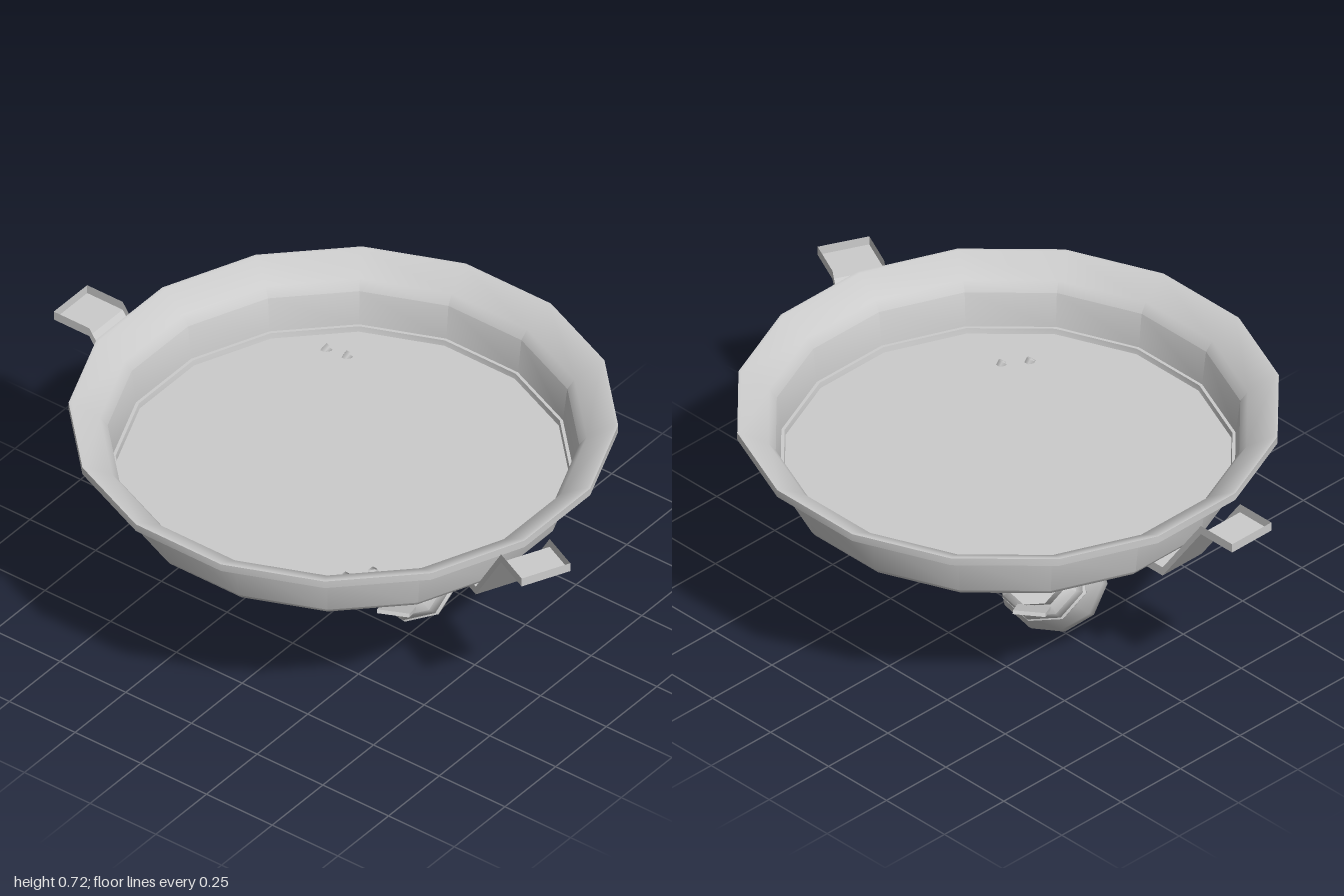
import * as THREE from 'three';
import { toCreasedNormals } from 'three/addons/utils/BufferGeometryUtils.js';

const mat = new THREE.MeshStandardMaterial({ color: 0xcccccc });
const thin = new THREE.MeshStandardMaterial({ color: 0xcccccc, side: THREE.DoubleSide });

function add(parent, name, geometry, material = mat) {
  const mesh = new THREE.Mesh(geometry, material);
  mesh.name = name;
  parent.add(mesh);
  return mesh;
}

function lathe(points, sides, start, crease) {
  const profile = points.map(([r, y]) => new THREE.Vector2(r, y));
  return toCreasedNormals(new THREE.LatheGeometry(profile, sides, start), crease);
}

// Bent channel strip: shallow side walls and closed ends, open on top
function clipGeometry(width, wall) {
  const path = [[0.43, 0.46], [0.7, 0.46], [0.865, 0.695], [1, 0.695]];
  const w = width / 2, pos = [];
  const rings = path.map(([z, y]) => [[-w, y + wall, z], [-w, y, z], [w, y, z], [w, y + wall, z]]);
  const quad = (a, b, c, d) => pos.push(...a, ...b, ...c, ...a, ...c, ...d);
  for (let i = 0; i < 3; i++)
    for (let j = 0; j < 3; j++) quad(rings[i][j], rings[i][j + 1], rings[i + 1][j + 1], rings[i + 1][j]);
  quad(...[...rings[0]].reverse());
  quad(...rings[3]);
  const g = new THREE.BufferGeometry();
  g.setAttribute('position', new THREE.Float32BufferAttribute(pos, 3));
  g.computeVertexNormals();
  return g;
}

// Socket whose local y axis runs from the bulb centre to the cable end
function socket(name, origin, axis) {
  const g = new THREE.Group();
  g.name = name;
  const d = new THREE.Vector3(...axis).normalize();
  g.position.set(...origin);
  g.quaternion.setFromUnitVectors(new THREE.Vector3(0, 1, 0), d);
  add(g, 'socketCup', lathe([
    [0, 0.33], [0.06, 0.32], [0.1, 0.28], [0.12, 0.19], [0.135, 0.19], [0.137, 0.215], [0.122, 0.225],
    [0.132, 0.25], [0.12, 0.32], [0.088, 0.34], [0.085, 0.46], [0, 0.46]], 8, Math.PI / 8, 0.9), thin);
  // small tab on the underside of the cable end
  const arm = new THREE.Group();
  arm.name = 'socketTab';
  arm.rotation.y = Math.atan2(d.x, d.z);
  const tab = add(arm, 'tabPlate', new THREE.BoxGeometry(0.1, 0.1, 0.012));
  tab.position.set(0, 0.42, 0.098);
  tab.rotation.x = 0.2;
  g.add(arm);
  return g;
}

export function createModel() {
  const model = new THREE.Group();
  model.name = 'ceilingLampFitting';

  // Sixteen-sided pan with flared rim
  add(model, 'pan', lathe([
    [0, 0.505], [0.692, 0.505], [0.705, 0.522], [0.722, 0.645], [0.745, 0.662], [0.83, 0.7], [0.83, 0.725],
    [0.82, 0.725], [0.735, 0.675], [0.712, 0.645], [0.698, 0.53], [0.688, 0.53], [0.685, 0.512], [0, 0.512]],
  16, Math.PI / 16, 0.6));

  // Mounting clips, front and back
  const front = add(model, 'frontClip', clipGeometry(0.165, 0.03), thin);
  front.rotation.y = -0.435;
  front.position.set(0.18, 0, 0.05);
  const back = add(model, 'backClip', clipGeometry(0.165, 0.03), thin);
  back.rotation.y = Math.PI;
  back.position.x = -0.05;

  // Screw bosses under the pan
  for (const [x, z] of [[0.45, 0.12], [-0.525, -0.1]]) {
    add(model, 'boss', new THREE.BoxGeometry(0.072, 0.038, 0.07)).position.set(x, 0.493, z);
    add(model, 'screw', new THREE.CylinderGeometry(0.018, 0.018, 0.03, 8)).position.set(x, 0.465, z);
  }

  // Empty socket and socket with bulb
  model.add(socket('emptySocket', [0.116, 0.142, 0.222], [-0.73, 0.59, 0.34]));
  const lit = socket('bulbSocket', [-0.015, 0.165, -0.177], [0.66, 0.57, -0.49]);
  add(lit, 'bulb', new THREE.LatheGeometry([
    [0, -0.165], [0.07, -0.15], [0.13, -0.1], [0.165, -0.02], [0.16, 0.06], [0.13, 0.15], [0.105, 0.22],
    [0.08, 0.3]].map(([r, y]) => new THREE.Vector2(r, y)), 10));
  model.add(lit);

  // Pairs of wires from each socket up through the pan
  const wires = [
    [[-0.42, 0.52, 0.33], [-0.37, 0.44, 0.34], [-0.3, 0.375, 0.36], [-0.19, 0.375, 0.37]],
    [[-0.35, 0.52, 0.38], [-0.3, 0.445, 0.39], [-0.24, 0.425, 0.39], [-0.17, 0.41, 0.37]],
    [[0.45, 0.52, -0.4], [0.41, 0.48, -0.42], [0.35, 0.46, -0.42], [0.27, 0.42, -0.39]],
    [[0.46, 0.52, -0.33], [0.42, 0.475, -0.35], [0.36, 0.44, -0.38], [0.27, 0.41, -0.39]],
  ];
  for (const points of wires) {
    const curve = new THREE.CatmullRomCurve3(points.map((p) => new THREE.Vector3(...p)));
    add(model, 'wire', new THREE.TubeGeometry(curve, 8, 0.015, 6), thin);
  }
  return model;
}
